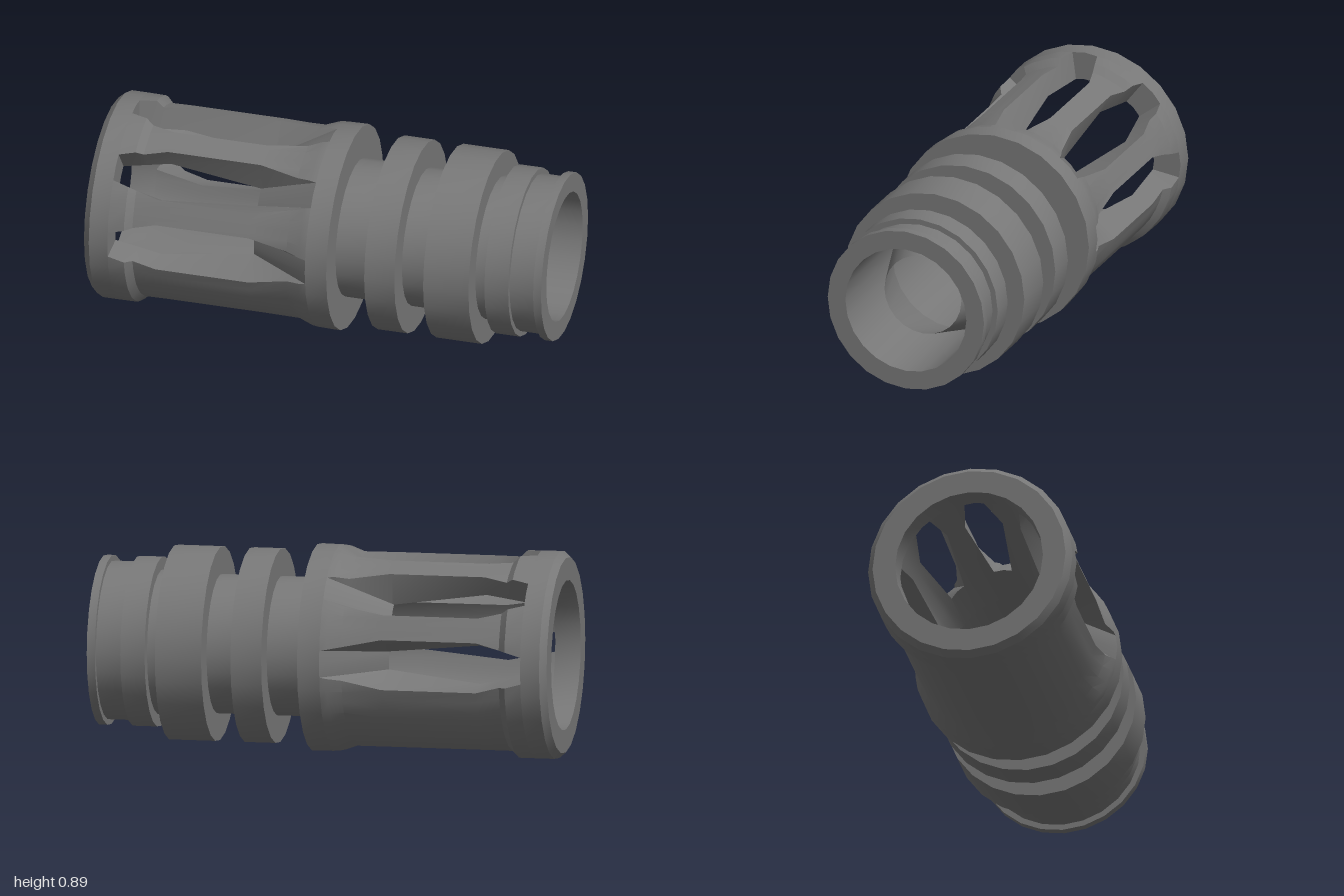
import * as THREE from 'three';
import { toCreasedNormals } from 'three/addons/utils/BufferGeometryUtils.js';

const AXIS_Y = 0.445;
const DEG = Math.PI / 180;
const SLOTS = [-90, -45, 0, 45, 90]; // degrees from straight up; none underneath
const BORE = 0.28;

// Profiles as [x, value] pairs
const SLOT_OUTER_ANGLE = [[-0.89, 7.5], [-0.69, 15], [-0.28, 15], [-0.02, 7.5]];
const SLOT_INNER_ANGLE = [[-0.89, 7.5], [-0.69, 15], [-0.29, 8], [-0.02, 7.5]];
const CAGE_OUTER = [[-0.89, 0.443], [-0.82, 0.443], [-0.79, 0.415], [-0.69, 0.415],
  [-0.28, 0.415], [-0.11, 0.415], [-0.05, 0.437], [-0.02, 0.44]];
const CAGE_INNER = [[-0.89, 0.32], [-0.69, 0.318], [-0.29, BORE], [-0.02, BORE]];
const SLOT_FLOOR = [[-0.29, BORE], [-0.02, 0.44]];

// Piecewise linear lookup
function at(table, x) {
  for (let i = 1; i < table.length; i++) {
    const [x0, v0] = table[i - 1], [x1, v1] = table[i];
    if (x <= x1) return v0 + (v1 - v0) * Math.max(0, (x - x0) / (x1 - x0));
  }
  return table[table.length - 1][1];
}

// Point on a 24-sided tube around the x axis
function point(x, r, deg) {
  const withinSide = ((deg % 15) + 15) % 15 - 7.5;
  const flat = r * Math.cos(7.5 * DEG) / Math.cos(withinSide * DEG);
  return [x, AXIS_Y + flat * Math.cos(deg * DEG), flat * Math.sin(deg * DEG)];
}

// Skin a grid of points, keeping hard edges sharp
function skin(rows) {
  const pos = [];
  for (let i = 0; i + 1 < rows.length; i++) {
    for (let j = 0; j + 1 < rows[i].length; j++) {
      const a = rows[i][j], b = rows[i][j + 1], c = rows[i + 1][j], d = rows[i + 1][j + 1];
      pos.push(...a, ...b, ...c, ...b, ...d, ...c);
    }
  }
  const geo = new THREE.BufferGeometry();
  geo.setAttribute('position', new THREE.Float32BufferAttribute(pos, 3));
  geo.computeVertexNormals();
  return toCreasedNormals(geo, 0.4);
}

// Sweep a profile of [x, radius] between two angles that may vary with x
function sweep(profile, from, to, segments) {
  return skin(profile.map(([x, r]) => {
    const a0 = from(x), a1 = to(x);
    return Array.from({ length: segments + 1 }, (_, j) =>
      point(x, r, a0 + (a1 - a0) * j / segments));
  }));
}

const ring = (profile) => sweep(profile, () => 0, () => 360, 24);

export function createModel() {
  const group = new THREE.Group();
  const material = new THREE.MeshStandardMaterial({ color: 0x787878, side: THREE.DoubleSide });
  const add = (name, geo, parent = group) => {
    const mesh = new THREE.Mesh(geo, material);
    mesh.name = name;
    parent.add(mesh);
  };

  // Open end ring with a chamfered lip
  add('muzzleRing', ring([[-0.89, 0.32], [-1, 0.32], [-1, 0.418], [-0.972, 0.443], [-0.89, 0.443]]));

  // Collar, two ribs, stepped neck and the bore behind them
  add('groovedBody', ring([
    [-0.02, 0.44], [0.075, 0.442], [0.075, 0.297], [0.235, 0.297],
    [0.235, 0.415], [0.368, 0.415], [0.368, 0.297], [0.495, 0.297],
    [0.495, 0.415], [0.695, 0.415], [0.695, 0.308], [0.75, 0.308],
    [0.75, 0.362], [0.855, 0.362], [0.855, 0.338], [0.965, 0.338],
    [0.965, 0.362], [1, 0.362], [1, BORE], [-0.02, BORE],
  ]));

  // Funnel inside the bore, narrowing towards the neck
  add('innerFunnel', ring([[0.5, BORE], [0.82, 0.178]]));

  // Bars between the slots, the last one spanning the solid underside
  const cage = new THREE.Group();
  cage.name = 'slottedCage';
  group.add(cage);
  SLOTS.forEach((slot, i) => {
    const next = i < SLOTS.length - 1 ? SLOTS[i + 1] : SLOTS[0] + 360;
    const segments = (next - slot - 15) / 7.5;
    const bar = (name, profile, angle) => add(name, sweep(profile,
      (x) => slot + at(angle, x), (x) => next - at(angle, x), segments), cage);
    bar('barOuter', CAGE_OUTER, SLOT_OUTER_ANGLE);
    bar('barInner', [...CAGE_INNER].reverse(), SLOT_INNER_ANGLE);
  });

  // Slot side walls, sloping floors and front walls
  const wallStations = [-0.89, -0.82, -0.79, -0.69, -0.29, -0.28, -0.11, -0.05, -0.02];
  for (const slot of SLOTS) {
    const from = (x) => slot - at(SLOT_INNER_ANGLE, x);
    const to = (x) => slot + at(SLOT_INNER_ANGLE, x);
    for (const side of [-1, 1]) {
      add('slotWall', skin(wallStations.map((x) => {
        const innerRadius = at(x <= -0.29 ? CAGE_INNER : SLOT_FLOOR, x);
        const outer = point(x, at(CAGE_OUTER, x), slot + side * at(SLOT_OUTER_ANGLE, x));
        const inner = point(x, innerRadius, slot + side * at(SLOT_INNER_ANGLE, x));
        return side > 0 ? [inner, outer] : [outer, inner];
      })), cage);
    }
    add('slotFloor', sweep(SLOT_FLOOR, from, to, 2), cage);
    add('slotEnd', sweep([[-0.89, 0.443], [-0.89, 0.32]], from, to, 2), cage);
    add('boreBehindFloor', sweep([[-0.02, BORE], [-0.29, BORE]], from, to, 2), cage);
  }
  return group;
}
